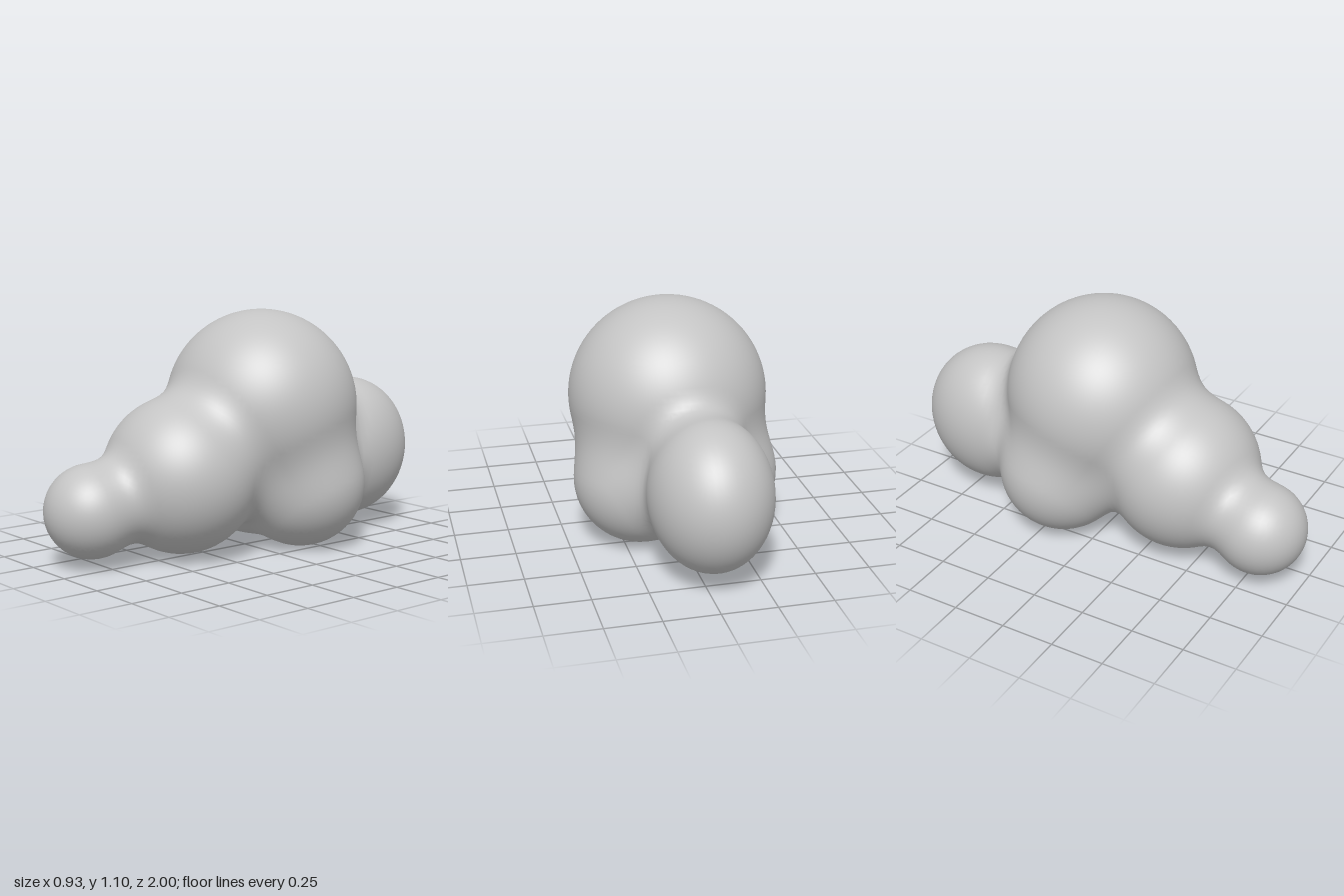
import * as THREE from 'three';

// Puffs of the cloud: centre and radii
const PUFFS = [
  { c: [0.01, 0.66, -0.09], r: [0.45, 0.445, 0.44] },    // main dome
  { c: [-0.02, 0.38, 0.36], r: [0.36, 0.36, 0.35] },     // front middle
  { c: [-0.1, 0.255, 0.788], r: [0.212, 0.212, 0.212] }, // front tip
  { c: [-0.04, 0.4, -0.67], r: [0.272, 0.34, 0.33] },    // back
  { c: [-0.165, 0.305, -0.2], r: [0.305, 0.3, 0.3] },    // lower right
  { c: [0.16, 0.305, -0.2], r: [0.305, 0.3, 0.3] },      // lower left
];
const BLEND = 0.12;
const STEP = 0.03;
const MIN = [-0.6, -0.12, -1.11];
const COUNT = [41, 45, 75];

// Approximate signed distance to an ellipsoid
function ellipsoid(p, { c, r }) {
  const d = [0, 1, 2].map((i) => (p[i] - c[i]) / r[i]);
  const k0 = Math.hypot(d[0], d[1], d[2]);
  const k1 = Math.hypot(d[0] / r[0], d[1] / r[1], d[2] / r[2]);
  return k1 < 1e-6 ? -Math.min(...r) : (k0 * (k0 - 1)) / k1;
}

// Rounded union of all puffs
function field(p) {
  let a = 10;
  for (const puff of PUFFS) {
    const b = ellipsoid(p, puff);
    const h = Math.max(BLEND - Math.abs(a - b), 0) / BLEND;
    a = Math.min(a, b) - (h * h * BLEND) / 4;
  }
  return a;
}

function gradient(p) {
  const e = 0.002;
  return [0, 1, 2].map((i) => {
    const a = [...p], b = [...p];
    a[i] += e;
    b[i] -= e;
    return (field(a) - field(b)) / (2 * e);
  });
}

// Skin over the rounded union: one vertex per crossed cell, one quad per crossed edge
function cloudGeometry() {
  const [nx, ny, nz] = COUNT;
  const stride = [1, nx, nx * ny];
  const at = (i, j, k) => i + nx * j + nx * ny * k;
  const point = (i, j, k) => [MIN[0] + i * STEP, MIN[1] + j * STEP, MIN[2] + k * STEP];
  const values = new Float32Array(nx * ny * nz);
  for (let k = 0; k < nz; k++)
    for (let j = 0; j < ny; j++)
      for (let i = 0; i < nx; i++) values[at(i, j, k)] = field(point(i, j, k));

  const positions = [], normals = [], indices = [];
  const cellVertex = new Map();
  for (let k = 0; k < nz - 1; k++)
    for (let j = 0; j < ny - 1; j++)
      for (let i = 0; i < nx - 1; i++) {
        let inside = 0;
        for (let n = 0; n < 8; n++)
          if (values[at(i + (n & 1), j + ((n >> 1) & 1), k + (n >> 2))] < 0) inside++;
        if (inside === 0 || inside === 8) continue;
        // slide the cell centre onto the surface
        let p = point(i + 0.5, j + 0.5, k + 0.5);
        for (let n = 0; n < 4; n++) {
          const g = gradient(p);
          const s = field(p) / (g[0] ** 2 + g[1] ** 2 + g[2] ** 2 + 1e-6);
          p = p.map((v, m) => v - g[m] * s);
        }
        const g = gradient(p);
        const length = Math.hypot(...g) || 1;
        cellVertex.set(at(i, j, k), positions.length / 3);
        positions.push(...p);
        normals.push(...g.map((v) => v / length));
      }

  for (let k = 1; k < nz - 1; k++)
    for (let j = 1; j < ny - 1; j++)
      for (let i = 1; i < nx - 1; i++) {
        const n = at(i, j, k);
        for (let axis = 0; axis < 3; axis++) {
          const here = values[n] < 0;
          if (here === values[n + stride[axis]] < 0) continue;
          const u = stride[(axis + 1) % 3], v = stride[(axis + 2) % 3];
          const [a, b, c, d] = [n - u - v, n - v, n, n - u].map((q) => cellVertex.get(q));
          if (here) indices.push(a, b, c, a, c, d);
          else indices.push(a, c, b, a, d, c);
        }
      }

  const geometry = new THREE.BufferGeometry();
  geometry.setAttribute('position', new THREE.Float32BufferAttribute(positions, 3));
  geometry.setAttribute('normal', new THREE.Float32BufferAttribute(normals, 3));
  geometry.setIndex(indices);
  return geometry;
}

export function createModel() {
  const group = new THREE.Group();
  group.name = 'cloud';
  const grey = new THREE.MeshStandardMaterial({ color: 0xc4c4c4 });
  grey.name = 'cloud grey';
  const body = new THREE.Mesh(cloudGeometry(), grey);
  body.name = 'cloudBody';
  group.add(body);
  return group;
}
